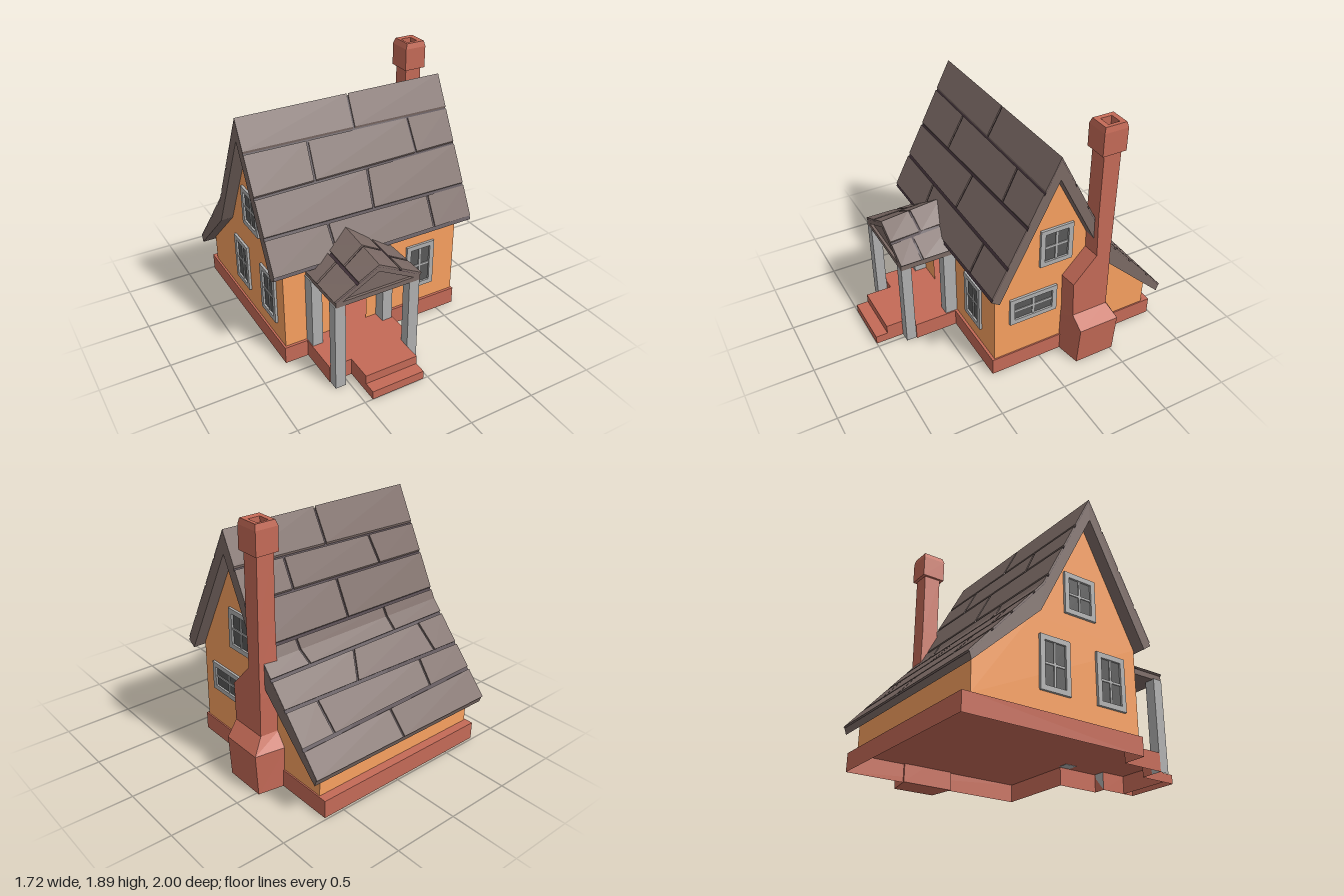
import * as THREE from 'three';

const mat = (color, side = THREE.FrontSide) => new THREE.MeshStandardMaterial({ color, side, flatShading: true });
const M = {
  wall: mat(0xf8a060, THREE.DoubleSide), brick: mat(0xc46a57), base: mat(0xc46a57, THREE.DoubleSide),
  roof: mat(0x7b6a65), gap: mat(0x42323a), grey: mat(0xb0b0b0), pane: mat(0x585858),
};
const V = (x, y, z) => new THREE.Vector3(x, y, z);

function add(parent, name, geo, material) {
  const mesh = new THREE.Mesh(geo, material);
  mesh.name = name;
  parent.add(mesh);
  return mesh;
}

// Box geometry given by its limits on each axis
const boxGeo = ([x0, x1], [y0, y1], [z0, z1]) =>
  new THREE.BoxGeometry(x1 - x0, y1 - y0, z1 - z0).translate((x0 + x1) / 2, (y0 + y1) / 2, (z0 + z1) / 2);
const box = (parent, name, x, y, z, material) => add(parent, name, boxGeo(x, y, z), material);

const polygon = pts => new THREE.Shape(pts.map(([x, y]) => new THREE.Vector2(x, y)));
const extrude = (shape, depth) => new THREE.ExtrudeGeometry(shape, { depth, bevelEnabled: false });

// Outline of [z, y] points as seen from the side
const sideShape = pts => polygon(pts.map(([z, y]) => [-z, y]));

// Drops the triangles that lie on the ground
function openBottom(geo) {
  const p = (geo.index ? geo.toNonIndexed() : geo).attributes.position, pos = [];
  for (let i = 0; i < p.count; i += 3) {
    const tri = [i, i + 1, i + 2];
    if (tri.some(k => p.getY(k) > 1e-4)) for (const k of tri) pos.push(p.getX(k), p.getY(k), p.getZ(k));
  }
  const g = new THREE.BufferGeometry();
  g.setAttribute('position', new THREE.Float32BufferAttribute(pos, 3));
  g.computeVertexNormals();
  return g;
}

// Stack of sections [y, x0, x1, z0, z1, inset], the +x side narrowed by inset, closed at both ends
function loft(sections) {
  const pos = [], idx = [], n = sections.length;
  for (const [y, x0, x1, z0, z1, d = 0] of sections) pos.push(x0, y, z1, x1, y, z1 - d, x1, y, z0 + d, x0, y, z0);
  for (let i = 0; i < n - 1; i++) for (let k = 0; k < 4; k++) {
    const a = i * 4 + k, b = i * 4 + (k + 1) % 4;
    idx.push(a, b, b + 4, a, b + 4, a + 4);
  }
  const t = (n - 1) * 4;
  idx.push(0, 2, 1, 0, 3, 2, t, t + 1, t + 2, t, t + 2, t + 3);
  const g = new THREE.BufferGeometry();
  g.setAttribute('position', new THREE.Float32BufferAttribute(pos, 3));
  g.setIndex(idx);
  const flat = g.toNonIndexed();
  flat.computeVertexNormals();
  return flat;
}

const mix = (a, b, t) => a + (b - a) * t;
const bilinear = ([tl, tr, bl, br], s, t) => tl.clone().lerp(tr, s).lerp(bl.clone().lerp(br, s), t);

// Shingles between an inner and an outer quad [top left, top right, bottom left, bottom right].
// bounds: row edges as [left, right] fractions; seams: per row, [top, bottom] positions along the axis
function shingles(parent, name, inner, outer, axis, bounds, seams) {
  const group = new THREE.Group();
  group.name = name;
  parent.add(group);
  const slab = (label, sL, sR, t0, t1, h, material) => {
    const g = new THREE.BoxGeometry(1, 1, 1), p = g.attributes.position;
    for (let i = 0; i < p.count; i++) {
      const u = p.getX(i) + 0.5, v = 0.5 - p.getY(i), w = (p.getZ(i) + 0.5) * h;
      const s = mix(mix(sL[0], sL[1], v), mix(sR[0], sR[1], v), u);
      const t = mix(mix(t0[0], t0[1], s), mix(t1[0], t1[1], s), v);
      const q = bilinear(inner, s, t).lerp(bilinear(outer, s, t), w);
      p.setXYZ(i, q.x, q.y, q.z);
    }
    g.computeVertexNormals();
    add(group, label, g, material);
  };
  const a = outer[0].getComponent(axis), b = outer[1].getComponent(axis);
  const ds = 0.008 / Math.abs(b - a), dt = 0.011 / outer[0].distanceTo(outer[2]);
  slab('shingleGap', [0, 0], [1, 1], [0, 0], [1, 1], 0.2, M.gap);
  const inset = ([l, r], d) => (l === r && (l === 0 || l === 1) ? [l, r] : [l + d, r + d]);
  seams.forEach((row, r) => {
    const t0 = inset(bounds[r], dt), t1 = inset(bounds[r + 1], -dt);
    const cuts = row.map(c => c.map(x => (x - a) / (b - a))).sort((m, n) => m[0] - n[0]);
    const edges = [[0, 0], ...cuts, [1, 1]];
    for (let i = 0; i < edges.length - 1; i++) {
      const sL = edges[i].map(e => (i ? e + ds : e));
      const sR = edges[i + 1].map(e => (i < edges.length - 2 ? e - ds : e));
      slab('shingle', sL, sR, t0, t1, 1, M.roof);
    }
  });
}

// Framed window with crossed bars, facing +z before it is turned
function makeWindow(parent, name, w, h, position, turn) {
  const group = new THREE.Group();
  group.name = name;
  const rect = (a, b) => [[-a, -b], [a, -b], [a, b], [-a, b]];
  const iw = w / 2 - 0.036, ih = h / 2 - 0.036;
  const frame = polygon(rect(w / 2, h / 2));
  frame.holes.push(polygon(rect(iw, ih)));
  add(group, 'windowFrame', extrude(frame, 0.018), M.grey);
  box(group, 'windowPane', [-iw, iw], [-ih, ih], [0, 0.004], M.pane);
  box(group, 'verticalBar', [-0.008, 0.008], [-ih, ih], [0, 0.01], M.grey);
  box(group, 'horizontalBar', [-iw, iw], [-0.008, 0.008], [0, 0.01], M.grey);
  group.position.set(...position);
  group.rotation.y = turn;
  parent.add(group);
}

export function createModel() {
  const house = new THREE.Group();
  house.name = 'cottage';

  // Foundation with porch floor and upper step, hollow underneath
  const plan = [[-0.785, -0.985], [0.65, -0.985], [0.65, 0.385], [0.055, 0.385], [0.055, 0.712], [-0.035, 0.712],
    [-0.035, 0.91], [-0.44, 0.91], [-0.44, 0.712], [-0.61, 0.712], [-0.61, 0.385], [-0.785, 0.385]];
  const slab = extrude(polygon(plan.map(([x, z]) => [x, -z])), 0.132).rotateX(-Math.PI / 2);
  add(house, 'foundation', openBottom(slab), M.base);
  add(house, 'lowerStep', openBottom(boxGeo([-0.44, -0.035], [0, 0.065], [0.91, 1])), M.base);

  // Thin walls around a hollow room, the front one with an open doorway
  const W0 = -0.77, W1 = 0.64, FLOOR = 0.132;
  const gableWall = sideShape([[0.365, FLOOR], [0.365, 0.74], [-0.06, 1.58], [-0.482, 0.755], [-0.92, 0.345], [-0.92, FLOOR]]);
  for (const x of [W0, W1])
    add(house, 'gableWall', new THREE.ShapeGeometry(gableWall).rotateY(Math.PI / 2).translate(x, 0, 0), M.wall);
  const front = polygon([[W0, FLOOR], [-0.355, FLOOR], [-0.355, 0.603], [-0.12, 0.603], [-0.12, FLOOR],
    [W1, FLOOR], [W1, 0.74], [W0, 0.74]]);
  add(house, 'frontWall', new THREE.ShapeGeometry(front).translate(0, 0, 0.365), M.wall);
  const back = polygon([[W0, FLOOR], [W1, FLOOR], [W1, 0.345], [W0, 0.345]]);
  add(house, 'backWall', new THREE.ShapeGeometry(back).translate(0, 0, -0.92), M.wall);

  // Main roof: long at the back with a shallower lower slope
  const X0 = -0.86, X1 = 0.73;
  const inner = [[0.434, 0.757], [-0.06, 1.708], [-0.458, 0.932], [-0.99, 0.33]];
  const outer = [[0.444, 0.763], [-0.06, 1.731], [-0.468, 0.943], [-1, 0.337]];
  const roofSection = sideShape([...inner, [-0.975, 0.285], [-0.485, 0.745], [-0.06, 1.565], [0.375, 0.718]]);
  add(house, 'roofBody', extrude(roofSection, X1 - X0).rotateY(Math.PI / 2).translate(X0, 0, 0), M.roof);
  const quad = (pts, top, low, xl, xr) => [top, top, low, low].map((k, i) => V(i % 2 ? xr : xl, pts[k][1], pts[k][0]));
  const slope = (name, top, low, xl, xr, bounds, seams) =>
    shingles(house, name, quad(inner, top, low, xl, xr), quad(outer, top, low, xl, xr), 0, bounds, seams);
  slope('frontShingles', 1, 0, X0, X1,
    [[0, 0], [0.215, 0.23], [0.49, 0.47], [0.74, 0.755], [0.99, 0.985]],
    [[[-0.03, -0.035]], [[-0.4, -0.41], [0.39, 0.4]], [[-0.01, -0.03]], [[-0.395, -0.38], [0.41, 0.41]]]);
  slope('upperBackShingles', 1, 2, X1, X0,
    [[0, 0], [0.29, 0.33], [0.56, 0.585], [0.9, 0.91], [1, 1]],
    [[[-0.025, -0.03]], [[-0.42, -0.445], [0.34, 0.34]], [[-0.03, -0.03]], [[-0.36, -0.365], [0.435, 0.43]]]);
  slope('lowerBackShingles', 2, 3, X1, X0,
    [[0, 0], [0.15, 0.145], [0.415, 0.455], [0.745, 0.71], [1, 1]],
    [[[-0.365, -0.375], [0.43, 0.405]], [[-0.605, -0.635], [0.03, 0.11]], [[-0.465, -0.45], [0.475, 0.46]], [[-0.035, -0.04]]]);

  // Porch roof: gable whose ridge rises a little toward the house
  const porch = new THREE.Group();
  porch.name = 'porch';
  house.add(porch);
  const CX = -0.275, ZF = 0.79, ZB = 0.32;
  const lift = z => 0.05 * (ZF - z) / (ZF - ZB);
  const gable = [[-0.322, 0.675], [0.322, 0.675], [0.322, 0.715], [0, 0.885], [-0.322, 0.715]];
  const body = extrude(polygon(gable), ZF - 0.02 - ZB).translate(CX, 0, ZB);
  const bp = body.attributes.position;
  for (let i = 0; i < bp.count; i++) if (bp.getY(i) > 0.8) bp.setY(i, bp.getY(i) + lift(bp.getZ(i)));
  body.computeVertexNormals();
  add(porch, 'porchRoofBody', body, M.roof);
  const rake = polygon(gable);
  rake.holes.push(polygon([[-0.27, 0.71], [0.27, 0.71], [0, 0.852]]));
  add(porch, 'porchGableFrame', extrude(rake, 0.025).translate(CX, 0, ZF - 0.025), M.roof);
  for (const side of [-1, 1]) {
    const [zl, zr] = side > 0 ? [ZF, ZB] : [ZB, ZF];
    const make = (ridge, dx, eave) => [V(CX, ridge + lift(zl), zl), V(CX, ridge + lift(zr), zr),
      V(CX + side * dx, eave, zl), V(CX + side * dx, eave, zr)];
    shingles(porch, 'porchShingles', make(0.885, 0.322, 0.715), make(0.903, 0.335, 0.727), 2,
      [[0, 0], [0.49, 0.49], [1, 1]],
      side > 0 ? [[[0.57, 0.56]], [[0.63, 0.625]]] : [[[0.575, 0.6]], [[0.525, 0.55]]]);
  }

  // Porch columns: the front pair stands on the ground
  for (const x of [[-0.605, -0.525], [-0.035, 0.045]]) {
    add(porch, 'frontColumn', openBottom(boxGeo(x, [0, 0.68], [0.712, 0.788])), M.grey);
    box(porch, 'backColumn', x, [0.13, 0.68], [0.366, 0.46], M.grey);
  }

  // Windows
  const R = Math.PI / 2;
  makeWindow(house, 'frontWindow', 0.235, 0.37, [0.333, 0.45, 0.366], 0);
  makeWindow(house, 'rightWindow', 0.375, 0.22, [W1 + 0.001, 0.525, 0.063], R);
  makeWindow(house, 'rightAtticWindow', 0.255, 0.3, [W1 + 0.001, 0.99, -0.105], R);
  makeWindow(house, 'leftAtticWindow', 0.255, 0.3, [W0 - 0.001, 0.99, -0.105], -R);
  for (const z of [-0.32, 0.135]) makeWindow(house, 'leftWindow', 0.235, 0.37, [W0 - 0.001, 0.45, z], -R);

  // Chimney: flared base, shoulder and shaft
  add(house, 'chimney', loft([
    [0, 0.63, 0.835, -0.555, -0.172, 0.035], [0.31, 0.63, 0.857, -0.558, -0.175, 0.035],
    [0.41, 0.63, 0.772, -0.485, -0.18, 0.012], [0.69, 0.63, 0.77, -0.485, -0.17, 0.012],
    [0.88, 0.63, 0.77, -0.478, -0.35, 0.008], [1.2, 0.635, 0.77, -0.472, -0.345], [1.7, 0.64, 0.77, -0.476, -0.345]]), M.brick);
  // Chimney cap with a sunken flue
  add(house, 'chimneyCap', loft([
    [1.685, 0.62, 0.79, -0.5, -0.32], [1.85, 0.62, 0.79, -0.5, -0.32], [1.89, 0.635, 0.782, -0.49, -0.33],
    [1.885, 0.662, 0.748, -0.458, -0.372], [1.78, 0.662, 0.748, -0.458, -0.372]]), M.brick);
  box(house, 'flue', [0.663, 0.747], [1.77, 1.785], [-0.457, -0.373], M.pane);

  return house;
}
